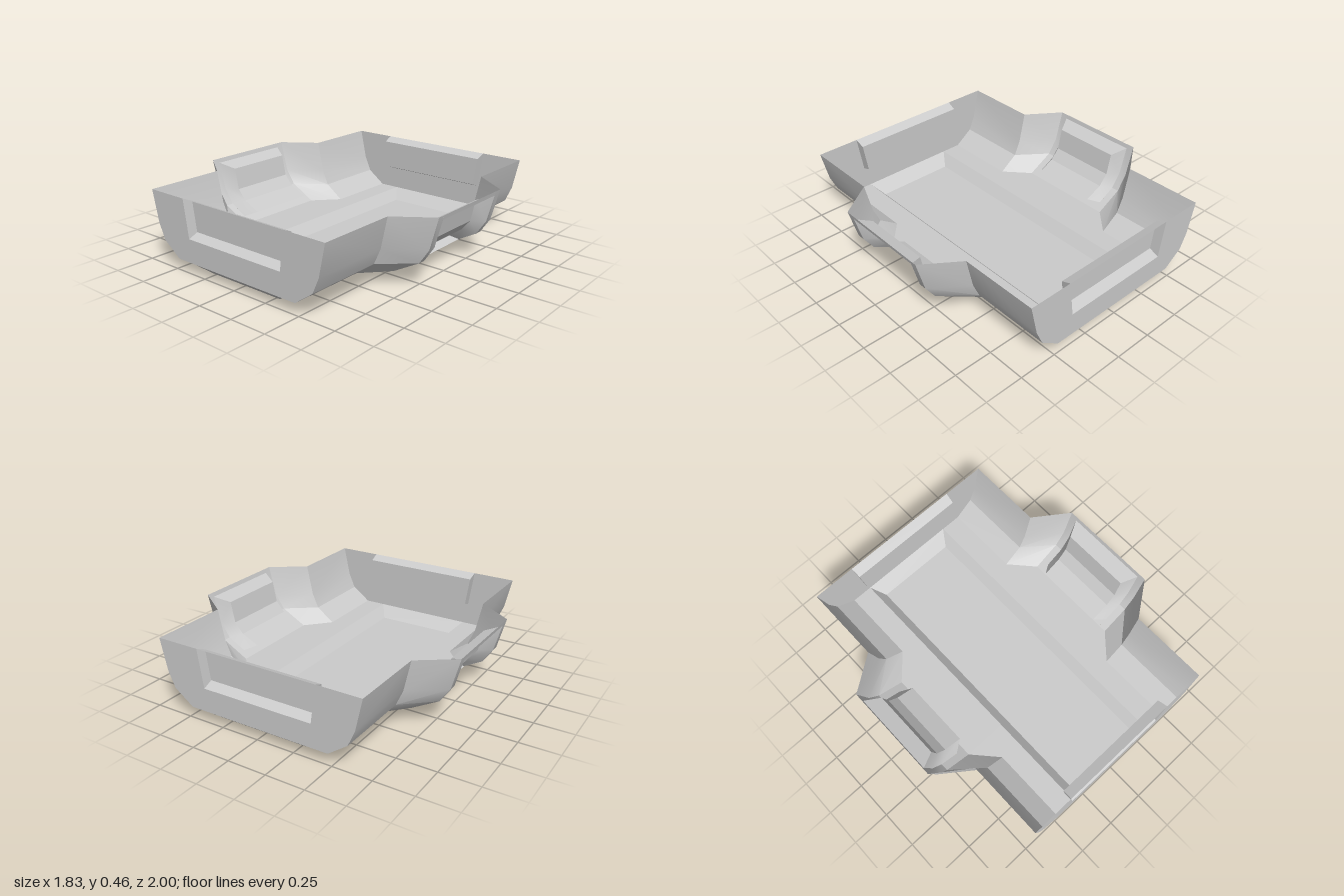
import * as THREE from 'three';
import { toCreasedNormals } from 'three/addons/utils/BufferGeometryUtils.js';

const TOP = 0.463, FLOOR = 0.07;
const material = new THREE.MeshStandardMaterial({ color: 0xcccccc, side: THREE.DoubleSide });

// Surface through rows of [x, y, z] points, all rows the same length
function loft(...rows) {
  const pos = [];
  for (let i = 0; i < rows.length - 1; i++) {
    for (let j = 0; j < rows[i].length - 1; j++) {
      const a = rows[i][j], b = rows[i][j + 1], c = rows[i + 1][j + 1], d = rows[i + 1][j];
      pos.push(...a, ...b, ...c, ...a, ...c, ...d);
    }
  }
  return pos;
}

// Pressed-in panel: sloped border between two four-corner loops, plus its flat face
function pan(outer, inner) {
  const [a, b, c, d] = inner;
  return [...loft([...outer, outer[0]], [...inner, a]), ...loft([a, b], [d, c])];
}

function addMesh(group, name, pos) {
  const geo = new THREE.BufferGeometry();
  geo.setAttribute('position', new THREE.Float32BufferAttribute(pos, 3));
  geo.computeVertexNormals();
  const mesh = new THREE.Mesh(toCreasedNormals(geo, 0.4), material);
  mesh.name = name;
  group.add(mesh);
}

// Wall cross-sections [x, y], from the top edge to the floor
const narrow = [[0.69, TOP], [0.645, 0.26], [0.6, 0.16], [0.475, FLOOR]];
const wide = [[0.915, TOP], [0.86, 0.26], [0.795, 0.165], [0.62, FLOOR]];
const recessRim = [[0.908, 0.435], [0.86, 0.26], [0.795, 0.165], [0.675, 0.1]];
const recessFace = [[0.81, 0.4], [0.78, 0.26], [0.72, 0.19], [0.6, 0.135]];

export function createModel() {
  const group = new THREE.Group();
  group.name = 'hullTray';

  for (const s of [1, -1]) {
    const side = s > 0 ? 'left' : 'right';
    const at = (profile, z) => profile.map(([x, y]) => [s * x, y, z]);

    // Side wall, bulging out around the middle
    const wall = [];
    for (const e of [1, -1]) {
      wall.push(...loft(...[[narrow, 1], [narrow, 0.49], [wide, 0.33], [wide, 0.28]]
        .map(([p, z]) => at(p, e * z)).sort((a, b) => b[0][2] - a[0][2])));
    }
    // Strips above and below the side recess
    wall.push(...loft(...[0.28, -0.28].map(z => at([wide[0], recessRim[0]], z))));
    wall.push(...loft(...[0.28, -0.28].map(z => at([recessRim[3], wide[3]], z))));
    addMesh(group, side + 'Wall', wall);

    // Recess in the bulge: ends and curved face, then upper and lower ledges
    const rimA = at(recessRim, 0.28), rimB = at(recessRim, -0.28);
    const faceA = at(recessFace, 0.23), faceB = at(recessFace, -0.23);
    addMesh(group, side + 'Recess', [
      ...loft(rimA, faceA, faceB, rimB),
      ...loft([rimA[0], faceA[0]], [rimB[0], faceB[0]]),
      ...loft([faceA[3], rimA[3]], [faceB[3], rimB[3]]),
    ]);

    // Floor strip beside the keel trough
    const edge = [[0.475, 1], [0.475, 0.49], [0.62, 0.33], [0.62, -0.33], [0.475, -0.49], [0.475, -1]];
    addMesh(group, side + 'Floor', loft(
      ...edge.map(([x, z]) => [[s * x, FLOOR, z], [s * 0.335, FLOOR, z]])));
  }

  // Keel trough sunk below the floor
  const rect = (x, y, z) => [[-x, y, z], [x, y, z], [x, y, -z], [-x, y, -z]];
  addMesh(group, 'keelTrough', pan(rect(0.335, FLOOR, 1), rect(0.275, 0, 0.912)).flat());

  // End walls, each notched for a recessed panel
  const half = [[0.405, TOP], ...narrow];
  const outline = [[0.37, 0.22], ...half];
  const points = [...outline, ...outline.map(([x, y]) => [-x, y]).reverse()];
  const notchX = y => 0.37 + 0.035 * (y - 0.22) / (TOP - 0.22);
  for (const e of [1, -1]) {
    const name = e > 0 ? 'front' : 'back';
    const shape = new THREE.Shape(points.map(([x, y]) => new THREE.Vector2(x, y)));
    const wall = new THREE.Mesh(new THREE.ShapeGeometry(shape), material);
    wall.name = name + 'Wall';
    wall.position.z = e;
    if (e < 0) wall.rotation.y = Math.PI;
    group.add(wall);

    const loop = (y0, y1, z) => [[-notchX(y0), y0, z], [notchX(y0), y0, z],
      [notchX(y1), y1, z], [-notchX(y1), y1, z]].map(([x, y, d]) => [e * x, y, e * d]);
    addMesh(group, name + 'Recess', pan(loop(0.22, TOP, 1), loop(0.245, 0.435, 0.935)));
  }
  return group;
}
